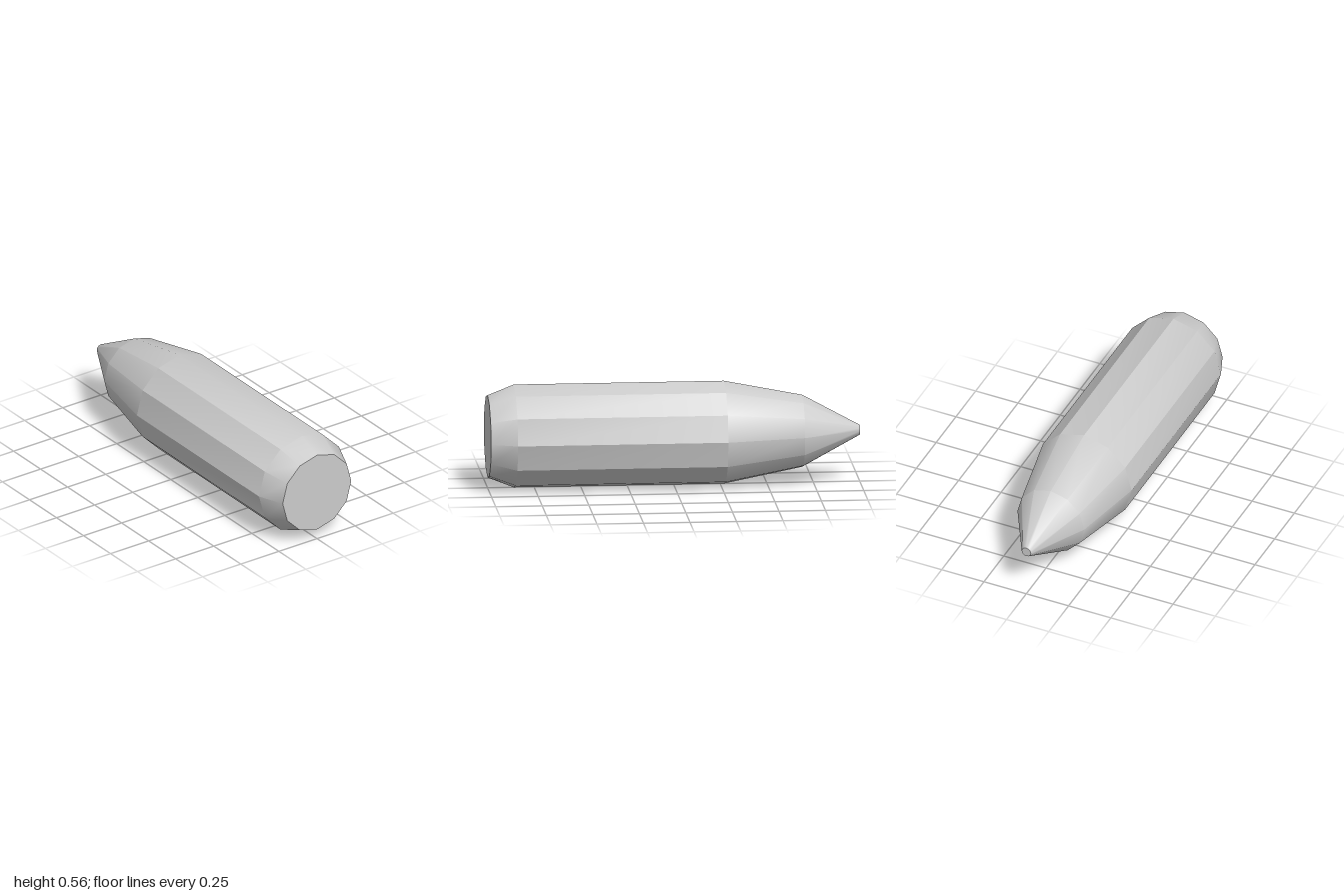
import * as THREE from 'three';
import { toCreasedNormals } from 'three/addons/utils/BufferGeometryUtils.js';

const SIDES = 12;
const CENTRE_Y = 0.282;

export function createModel() {
  const group = new THREE.Group();
  group.name = 'projectile';
  const metal = new THREE.MeshStandardMaterial({ color: 0xcccccc });
  metal.name = 'grey metal';

  const add = (name, geometry, z = 0) => {
    const mesh = new THREE.Mesh(geometry, metal);
    mesh.name = name;
    mesh.position.set(0, CENTRE_Y, z);
    group.add(mesh);
    return mesh;
  };

  // Shell: tip, nose, straight body and chamfered base, as [radius, z]
  const profile = [[0.027, -1], [0.197, -0.69], [0.281, -0.27], [0.281, 0.86], [0.225, 1]]
    .map(([r, z]) => new THREE.Vector2(r, z));
  const shell = new THREE.LatheGeometry(profile, SIDES).rotateX(Math.PI / 2);
  // Nose and base chamfer blend, the body facets stay sharp
  add('shell', toCreasedNormals(shell, THREE.MathUtils.degToRad(29.8)));

  // Flat end caps
  add('baseCap', new THREE.CircleGeometry(0.225, SIDES), 1);
  add('tipCap', new THREE.CircleGeometry(0.027, SIDES), -1).rotation.y = Math.PI;

  return group;
}
